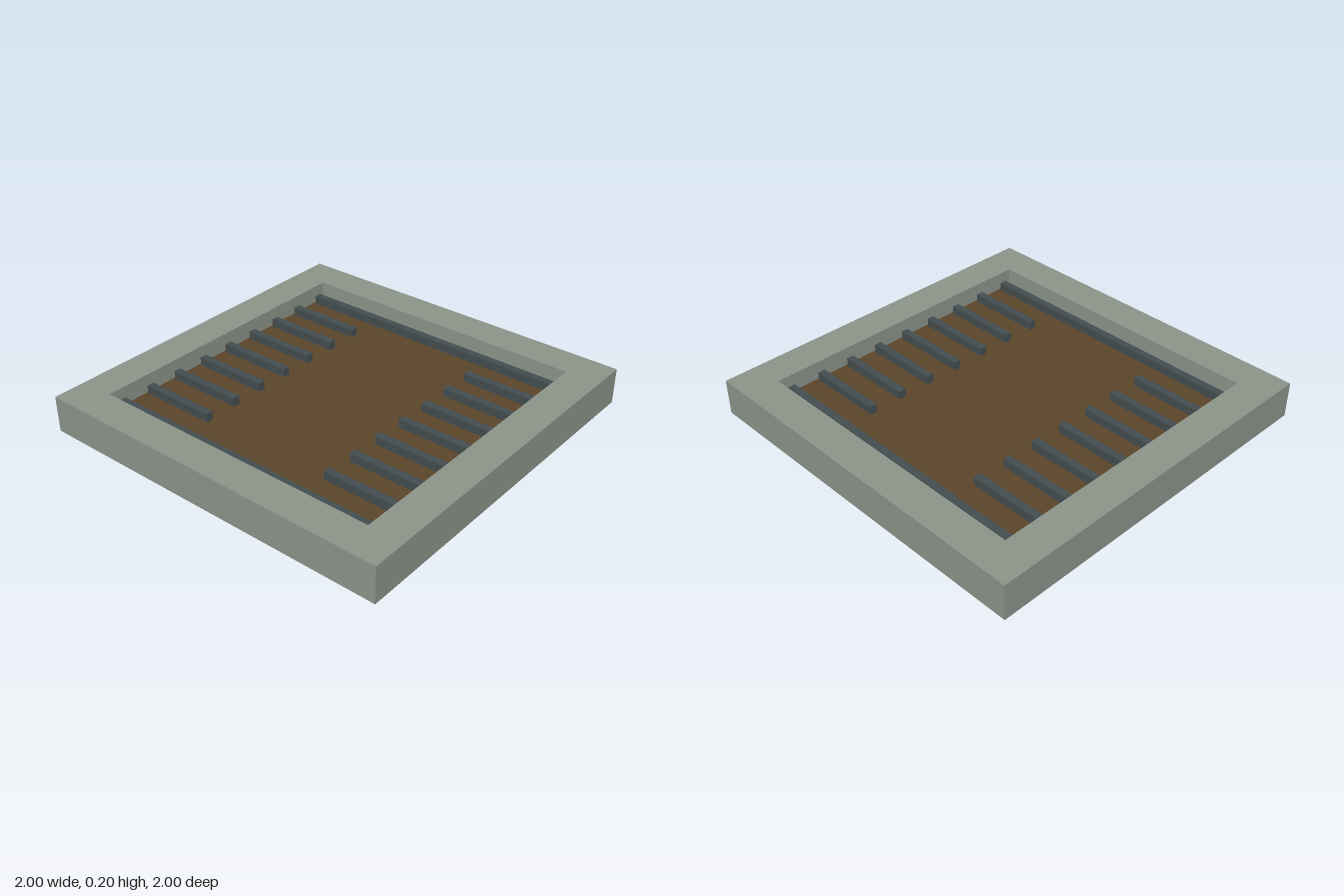
import * as THREE from 'three';

export function createModel() {
  const group = new THREE.Group();
  const stone = new THREE.MeshStandardMaterial({ name: 'greyStone', color: 0x8c948a });
  const soil = new THREE.MeshStandardMaterial({ name: 'brownFloor', color: 0x5b452b });
  const iron = new THREE.MeshStandardMaterial({ name: 'darkBar', color: 0x434d4f });

  // box given by its size, centre and underside height
  const box = (name, material, w, h, d, x, y, z) => {
    const mesh = new THREE.Mesh(new THREE.BoxGeometry(w, h, d), material);
    mesh.name = name;
    mesh.position.set(x, y + h / 2, z);
    group.add(mesh);
  };

  // floor slab, tucked slightly under the frame
  box('floor', soil, 1.67, 0.1, 1.67, 0, 0, 0);

  // frame: full-width front and back beams, side beams between them
  const beam = 0.187, inner = 1 - beam, lift = 0.002, height = 0.2 - lift;
  for (const s of [-1, 1]) {
    box(s > 0 ? 'frontBeam' : 'backBeam', stone, 2, height, beam, 0, lift, s * (1 - beam / 2));
    box(s > 0 ? 'leftBeam' : 'rightBeam', stone, beam, height, inner * 2, s * (1 - beam / 2), lift, 0);
  }

  // nine rows of bars: full length at both ends, short pairs between
  for (let i = 0; i < 9; i++) {
    const z = -0.75 + i * 0.1875;
    if (i === 0 || i === 8) {
      box(i ? 'frontBar' : 'backBar', iron, 1.6, 0.05, 0.04, 0, 0.097, z);
    } else {
      for (const s of [-1, 1]) {
        box(s > 0 ? 'leftBar' : 'rightBar', iron, 0.425, 0.05, 0.04, s * 0.5875, 0.097, z);
      }
    }
  }
  return group;
}
